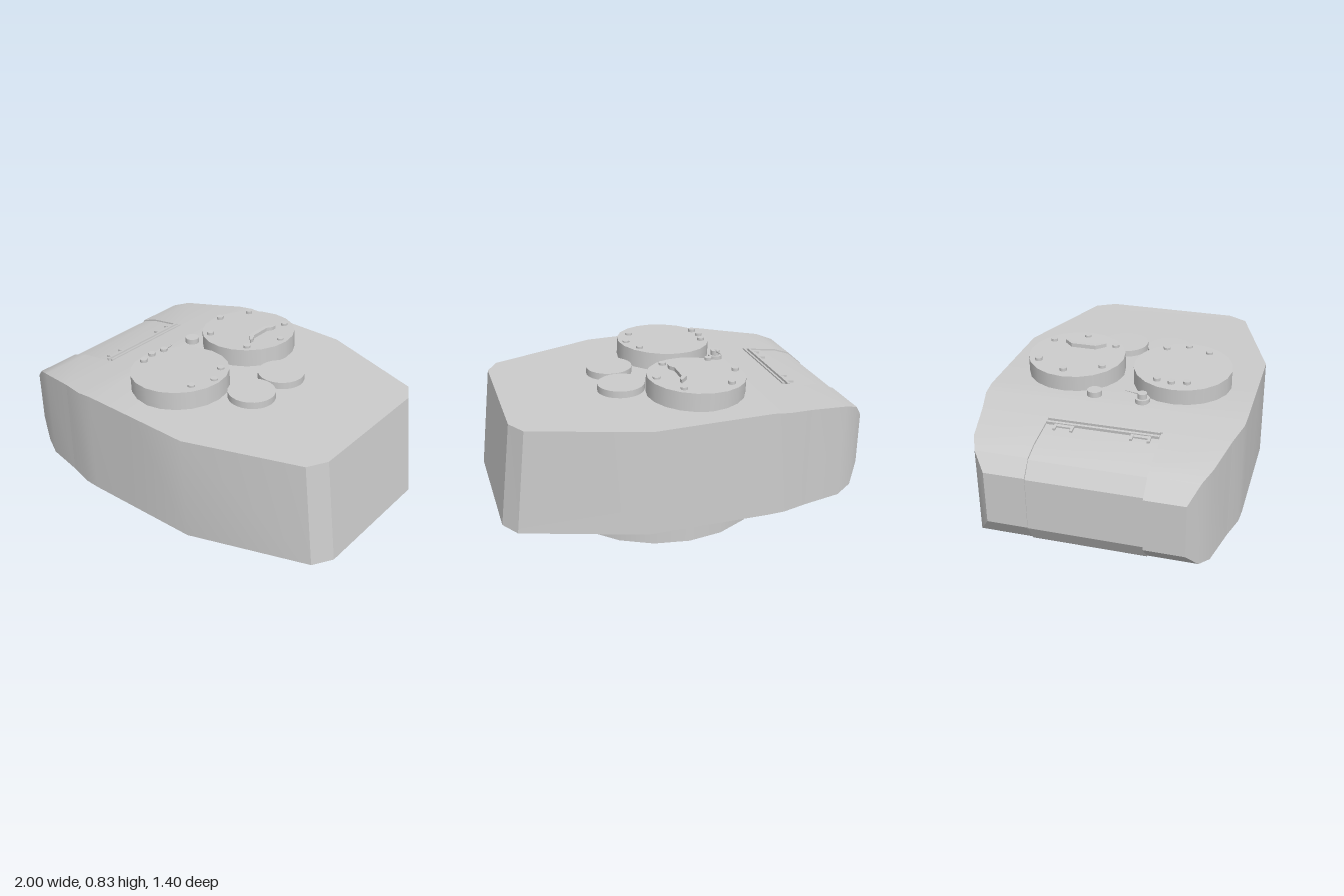
import * as THREE from 'three';
import { toCreasedNormals } from 'three/addons/utils/BufferGeometryUtils.js';

const material = new THREE.MeshStandardMaterial({ color: 0xcccccc });

// Hull stations along x: top x, top y, bottom x, bottom y, half width
const FRONT = [
  [-1, 0.54, -1, 0.25, 0.52],
  [-0.91, 0.62, -0.91, 0.15, 0.57],
  [-0.82, 0.65, -0.82, 0.12, 0.61],
  [-0.6, 0.68, -0.6, 0.12, 0.657],
];
const REAR = [
  FRONT[3],
  [-0.46, 0.698, -0.46, 0.12, 0.695],
  [-0.37, 0.708, -0.37, 0.12, 0.7],
  [-0.05, 0.703, -0.05, 0.12, 0.7],
  [0.27, 0.697, 0.3, 0.12, 0.7],
  [0.87, 0.69, 0.935, 0.12, 0.487],
  [0.93, 0.69, 1, 0.12, 0.38],
];

export function createModel() {
  const turret = new THREE.Group();
  turret.name = 'turret';

  function add(name, geometry, x = 0, y = 0, z = 0, parent = turret) {
    const mesh = new THREE.Mesh(geometry, material);
    mesh.name = name;
    mesh.position.set(x, y, z);
    parent.add(mesh);
    return mesh;
  }

  // Closed solid lofted through four-cornered stations
  function loft(stations, zMin, zMax) {
    const pos = [];
    const rings = stations.map(([xt, yt, xb, yb, w]) => [
      [xt, yt, zMin(w)], [xt, yt, zMax(w)], [xb, yb, zMax(w)], [xb, yb, zMin(w)],
    ]);
    const quad = (a, b, c, d) => pos.push(...a, ...b, ...c, ...a, ...c, ...d);
    for (let i = 0; i < rings.length - 1; i++) {
      for (let j = 0; j < 4; j++) {
        const k = (j + 1) % 4;
        quad(rings[i][j], rings[i][k], rings[i + 1][k], rings[i + 1][j]);
      }
    }
    const f = rings[0], r = rings[rings.length - 1];
    quad(f[0], f[3], f[2], f[1]);
    quad(r[0], r[1], r[2], r[3]);
    const g = new THREE.BufferGeometry();
    g.setAttribute('position', new THREE.Float32BufferAttribute(pos, 3));
    return toCreasedNormals(g, 0.42);
  }

  // Moves the nose back and shifts the top and bottom surfaces
  const inset = (nose, top, bottom) => FRONT.map(([xt, yt, xb, yb, w], i) => {
    const dx = i === 0 ? nose : 0;
    return [xt + dx, yt + top, xb + dx, yb + bottom, w - dx * 0.6];
  });

  // Armoured body with two cheeks and a recessed plate between them
  add('body', loft(REAR, w => -w, w => w));
  add('leftCheek', loft(FRONT, () => 0.31, w => w));
  add('rightCheek', loft(inset(0.025, 0, 0), w => -w, () => -0.29));
  add('frontPlate', loft(inset(0.03, -0.009, -0.006), () => -0.29, () => 0.31));

  const disc = (r, h, n = 20) => new THREE.CylinderGeometry(r, r, h, n);

  // Turret ring
  add('turretRing', disc(0.603, 0.1), 0.055, 0.05, -0.035);

  // Front plate lip and two lugs
  const slope = Math.atan2(0.03, 0.22);
  const lip = new THREE.Group();
  lip.name = 'plateLip';
  lip.position.set(-0.62, 0.674, 0.007);
  lip.rotation.z = slope;
  turret.add(lip);
  for (const dx of [-0.018, 0.013]) {
    add('lipRail', new THREE.BoxGeometry(0.014, 0.02, 0.585), dx, 0, 0, lip);
  }
  for (const z of [-0.19, 0.21]) {
    const lug = new THREE.Group();
    lug.name = 'plateLug';
    lug.position.set(-0.665, 0.665, z);
    lug.rotation.z = slope;
    turret.add(lug);
    for (const s of [-1, 1]) {
      add('lugEnd', new THREE.BoxGeometry(0.045, 0.018, 0.014), 0, 0, s * 0.045, lug);
    }
    add('lugBar', new THREE.BoxGeometry(0.018, 0.014, 0.09), 0.012, 0, 0, lug);
  }

  // Two slightly tilted hatch drums with bolts
  const hatches = [
    { name: 'rightHatch', z: -0.303, bolts: [
      [-0.22, -0.48], [0.04, -0.48], [-0.305, -0.31], [0.135, -0.31], [-0.22, -0.12], [0.045, -0.12]] },
    { name: 'leftHatch', z: 0.296, bolts: [
      [0.09, 0.165], [0.14, 0.28], [0.09, 0.405], [-0.29, 0.2], [-0.305, 0.28], [-0.29, 0.36]] },
  ];
  for (const { name, z, bolts } of hatches) {
    add(name, disc(0.267, 0.1), -0.085, 0.753, z).rotation.z = 0.04;
    for (const [bx, bz] of bolts) {
      add(name + 'Bolt', disc(0.02, 0.016, 10), bx, 0.814, bz);
    }
  }

  // Bent hatch handle
  const outline = [[0.03, 0.41], [-0.015, 0.36], [-0.015, 0.22], [0.03, 0.17],
    [0.03, 0.2], [0.01, 0.23], [0.01, 0.35], [0.03, 0.38]];
  const handle = new THREE.ExtrudeGeometry(
    new THREE.Shape(outline.map(p => new THREE.Vector2(...p))),
    { depth: 0.022, bevelEnabled: false });
  handle.rotateX(-Math.PI / 2);
  add('hatchHandle', handle, 0, 0.806, 0);

  // Low rear covers
  for (const z of [-0.125, 0.139]) add('roundCover', disc(0.129, 0.045, 24), 0.28, 0.712, z);

  // Roof fittings: a cap and an aerial base with its short rod
  add('roofCap', disc(0.04, 0.03, 14), -0.36, 0.727, -0.12);
  add('roofCapStem', disc(0.024, 0.04, 12), -0.36, 0.715, -0.12);
  add('aerialBase', disc(0.04, 0.025, 14), -0.36, 0.717, 0.14);
  add('aerialCollar', disc(0.026, 0.045, 12), -0.36, 0.735, 0.14);
  const rod = new THREE.CylinderGeometry(0.003, 0.008, 0.095, 6);
  rod.rotateX(-Math.PI / 2 + 0.1);
  add('aerialRod', rod, -0.362, 0.757, 0.095);

  return turret;
}
